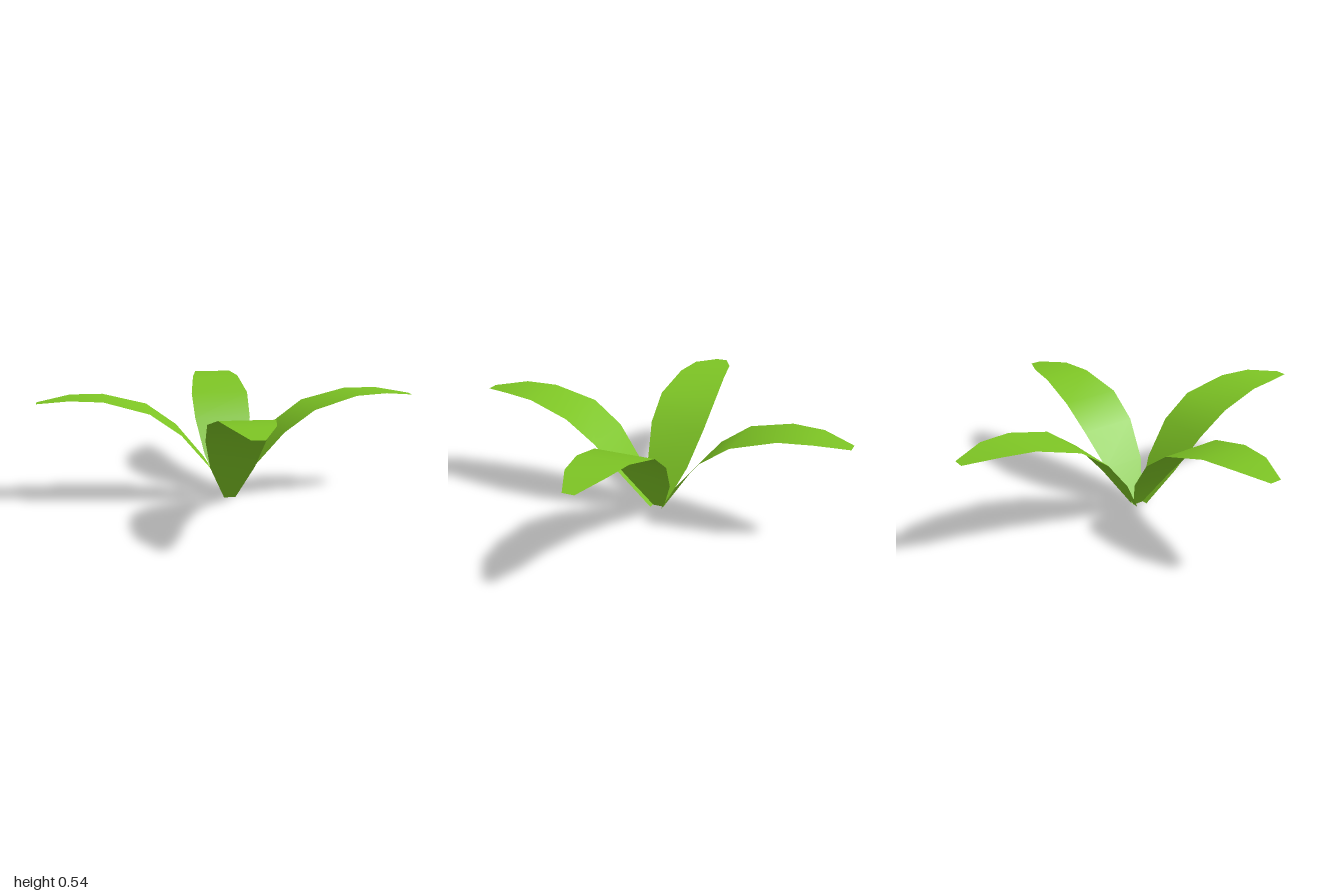
import * as THREE from 'three';

// Leaf stations from root to tip: [distance out, height, half width]
const STATIONS = [
  [0, 0, 0.03],
  [0.12, 0.19, 0.113],
  [0.26, 0.36, 0.15],
  [0.415, 0.473, 0.156],
  [0.64, 0.535, 0.13],
  [0.805, 0.54, 0.103],
  [0.968, 0.517, 0.03],
];

// Smooth arching strip that grows along +z
function leafGeometry(rootOffset) {
  const positions = [];
  const index = [];
  STATIONS.forEach(([out, height, half], i) => {
    positions.push(-half, height, out + rootOffset, half, height, out + rootOffset);
    if (i > 0) {
      const a = 2 * (i - 1);
      index.push(a, a + 2, a + 1, a + 1, a + 2, a + 3);
    }
  });
  const geometry = new THREE.BufferGeometry();
  geometry.setAttribute('position', new THREE.Float32BufferAttribute(positions, 3));
  geometry.setIndex(index);
  geometry.computeVertexNormals();
  return geometry;
}

export function createModel() {
  const plant = new THREE.Group();
  plant.name = 'leafyPlant';

  const leafGreen = new THREE.MeshStandardMaterial({ color: 0x7dc424, side: THREE.DoubleSide });
  leafGreen.name = 'leafGreen';

  // Front and back leaves are set slightly out and turned a little
  const leaves = [
    ['frontLeaf', -0.03, 0.03, 0],
    ['backLeaf', Math.PI - 0.03, 0.03, 0],
    ['leftLeaf', Math.PI / 2, 0, -0.004],
    ['rightLeaf', -Math.PI / 2, 0, -0.004],
  ];
  for (const [name, turn, rootOffset, z] of leaves) {
    const leaf = new THREE.Mesh(leafGeometry(rootOffset), leafGreen);
    leaf.name = name;
    leaf.rotation.y = turn;
    leaf.position.z = z;
    plant.add(leaf);
  }
  return plant;
}
